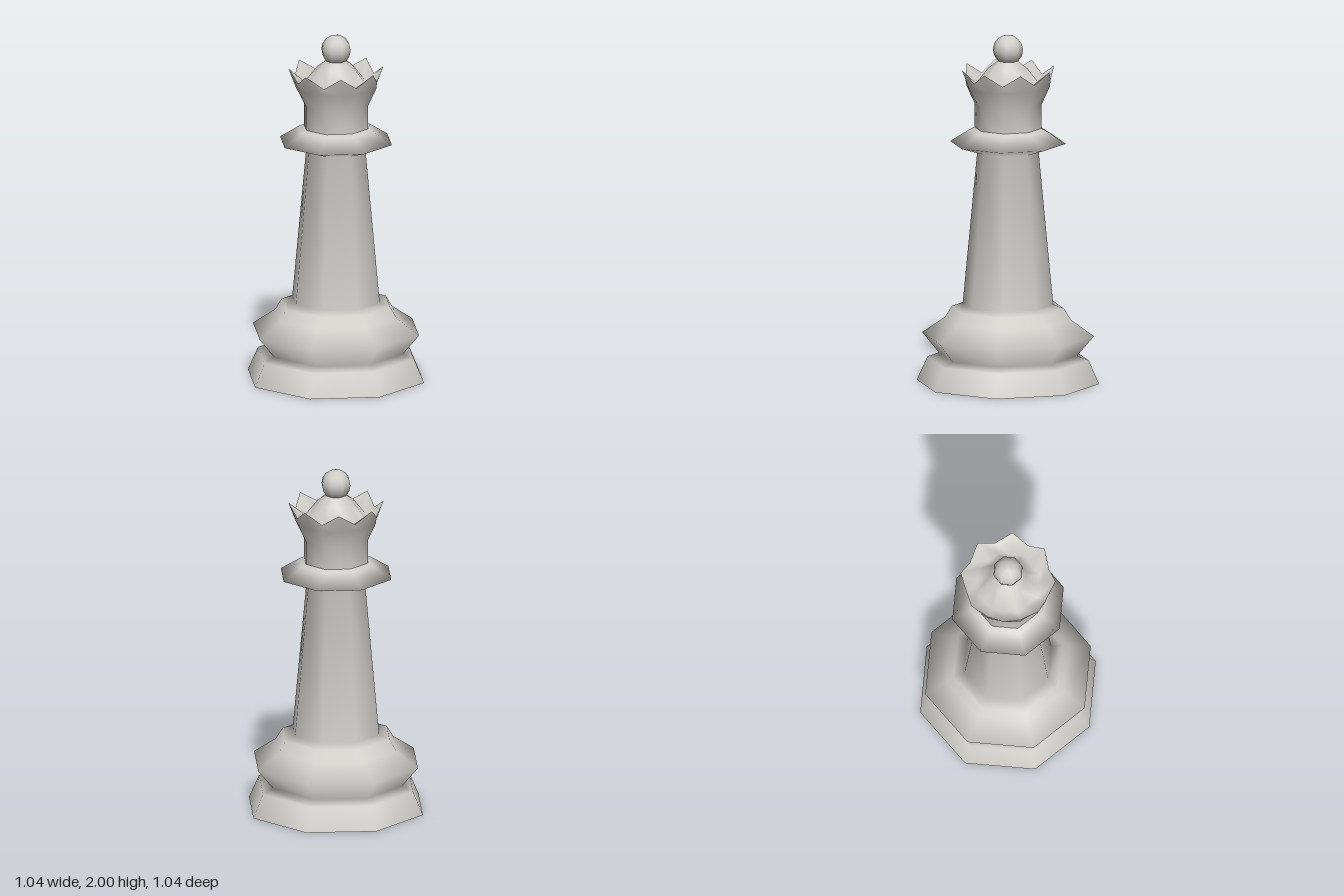
import * as THREE from 'three';
import { mergeVertices } from 'three/addons/utils/BufferGeometryUtils.js';

const toPoints = (list) => list.map(([r, y]) => new THREE.Vector2(r, y));

// Ring surface with 16 sides; each ring is [r, y] on the corners and [r, y] between them
function zigzagRings(rings) {
  const sides = 16;
  const geo = new THREE.LatheGeometry(toPoints(rings), sides);
  const pos = geo.attributes.position;
  for (let i = 0; i < pos.count; i++) {
    const column = Math.floor(i / rings.length);
    const ring = rings[i % rings.length];
    const [r, y] = column % 2 ? ring.slice(2) : ring;
    const a = (column % sides) * Math.PI * 2 / sides;
    pos.setXYZ(i, Math.sin(a) * r, y, Math.cos(a) * r);
  }
  geo.deleteAttribute('uv');
  geo.deleteAttribute('normal');
  const merged = mergeVertices(geo, 1e-5);
  merged.computeVertexNormals();
  return merged;
}

export function createModel() {
  const group = new THREE.Group();
  const stone = new THREE.MeshStandardMaterial({ color: 0xcfcdc8, side: THREE.DoubleSide });
  stone.name = 'pale stone';

  const add = (name, geometry) => {
    const mesh = new THREE.Mesh(geometry, stone);
    mesh.name = name;
    group.add(mesh);
    return mesh;
  };

  // Eight-sided turned body: foot, swollen ring, tapered column and collar
  add('body', new THREE.LatheGeometry(toPoints([
    [0.52, 0], [0.46, 0.135], [0.395, 0.16], [0.49, 0.275], [0.36, 0.365],
    [0.32, 0.43], [0.258, 0.452], [0.175, 1.33], [0.33, 1.38],
    [0.22, 1.45], [0.19, 1.465],
  ]), 8));

  // Flat underside
  const underside = add('underside', new THREE.CircleGeometry(0.52, 8));
  underside.rotation.x = Math.PI / 2;

  // Flared crown wall with eight points lying between the corners
  add('crownWall', zigzagRings([
    [0.19, 1.46, 0.176, 1.46],
    [0.19, 1.6, 0.176, 1.6],
    [0.238, 1.705, 0.228, 1.7],
    [0.243, 1.745, 0.27, 1.81],
  ]));

  // Crown hollow rising to the central dome
  add('crownDome', zigzagRings([
    [0.243, 1.745, 0.27, 1.81],
    [0.185, 1.715, 0.171, 1.715],
    [0.11, 1.81, 0.102, 1.81],
    [0.05, 1.855, 0.046, 1.855],
  ]));

  // Ball finial
  const finial = add('finial', new THREE.SphereGeometry(0.086, 8, 8));
  finial.position.y = 1.914;

  return group;
}
